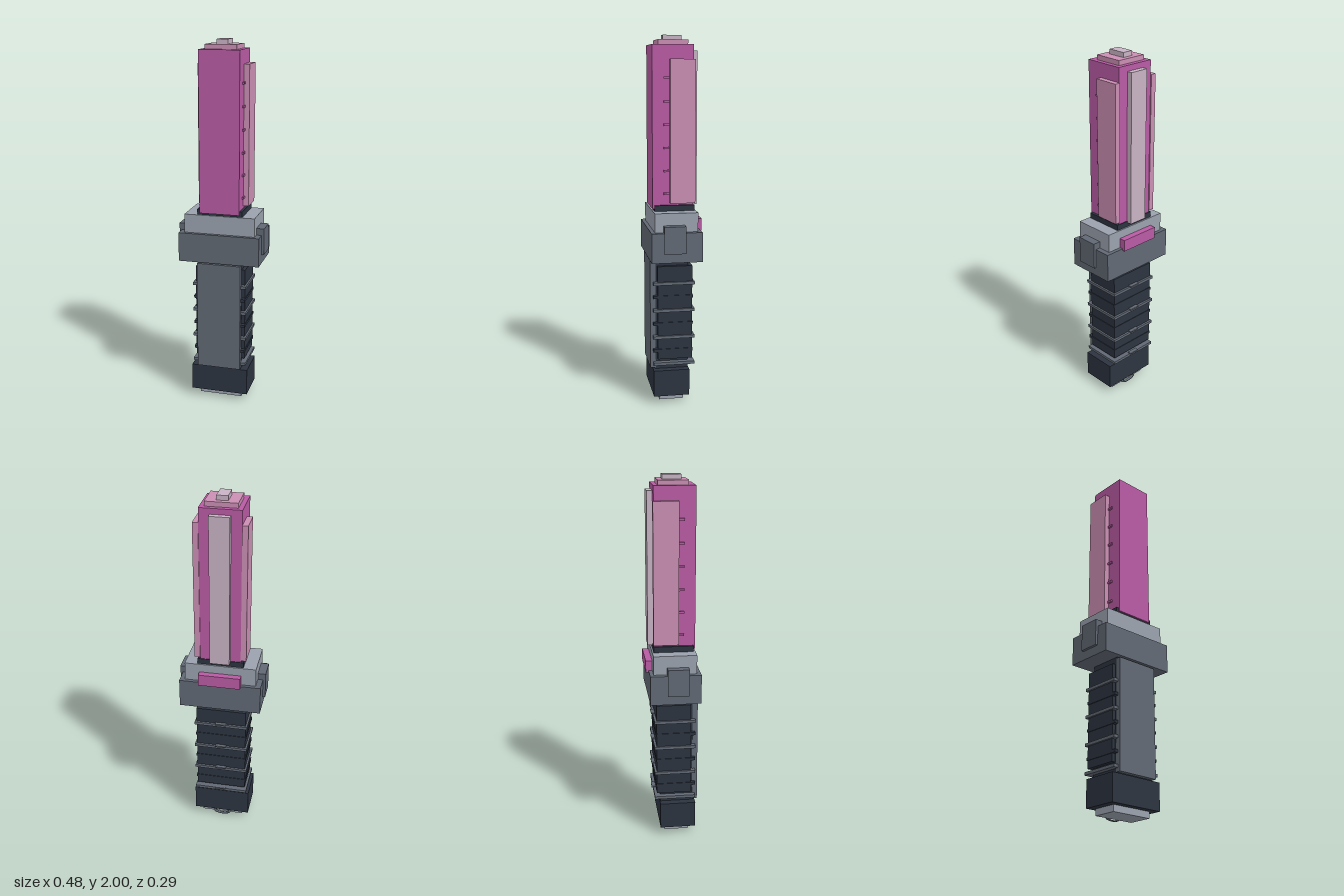
import * as THREE from 'three';

const paint = (name, color) => {
  const m = new THREE.MeshStandardMaterial({ color });
  m.name = name;
  return m;
};

export function createModel() {
  const magenta = paint('magenta', 0xb95ba4);
  const pink = paint('pink', 0xcb8fb4);
  const paleMauve = paint('paleMauve', 0xc8b3c4);
  const lightGrey = paint('lightGrey', 0x9ba2ae);
  const grey = paint('grey', 0x616974);
  const dark = paint('dark', 0x2c3440);

  const model = new THREE.Group();
  model.name = 'toyDagger';

  // Box given by its limits on each axis
  const block = (name, mat, [x0, x1], [y0, y1], [z0, z1]) => {
    const mesh = new THREE.Mesh(new THREE.BoxGeometry(x1 - x0, y1 - y0, z1 - z0), mat);
    mesh.position.set((x0 + x1) / 2, (y0 + y1) / 2, (z0 + z1) / 2);
    mesh.name = name;
    model.add(mesh);
    return mesh;
  };
  const wide = (w) => [-w, w];
  // Mirrored pair running from inner to outer x
  const pair = (name, mat, [a, b], y, z) => {
    block(name + 'Left', mat, [a, b], y, z);
    block(name + 'Right', mat, [-b, -a], y, z);
  };

  // Pommel with base plate and lanyard loop
  block('pommel', dark, wide(0.16), [0.045, 0.193], [-0.072, 0.125]);
  block('basePlate', lightGrey, wide(0.12), [0.01, 0.045], [-0.045, 0.09]);
  const loop = new THREE.Mesh(new THREE.TorusGeometry(0.045, 0.009, 6, 16), grey);
  loop.scale.set(1, 0.42, 1);
  loop.position.set(0, 0.0227, -0.053);
  loop.name = 'lanyardLoop';
  model.add(loop);

  // Grip core, raised wrap and front strip
  block('gripCore', dark, wide(0.12), [0.19, 0.82], [-0.07, 0.114]);
  block('gripWrap', dark, wide(0.14), [0.253, 0.777], [-0.09, 0.1]);
  block('frontStrip', grey, wide(0.122), [0.2, 0.807], [0.11, 0.139]);

  // Alternating grip ridges, grey ones with a small catch at the back
  for (let i = 0; i < 7; i++) {
    const y = 0.228 + i * 0.0757;
    const isGrey = i % 2 === 0;
    const w = isGrey ? 0.15 : 0.144;
    block('gripRidge', isGrey ? grey : dark, wide(w), [y - 0.008, y + 0.008], [isGrey ? -0.102 : -0.093, 0.124]);
    if (isGrey) block('ridgeCatch', grey, wide(0.03), [y + 0.006, y + 0.014], [-0.11, -0.088]);
  }

  // Guard
  block('guard', grey, wide(0.224), [0.815, 0.975], [-0.13, 0.143]);
  block('guardTop', lightGrey, wide(0.195), [0.97, 1.077], [-0.11, 0.122]);
  pair('guardEnd', grey, [0.195, 0.238], [0.865, 1.012], [-0.038, 0.077]);
  block('backButton', magenta, wide(0.115), [0.965, 1.03], [-0.145, -0.105]);
  block('bladeCollar', dark, wide(0.125), [1.07, 1.108], [-0.102, 0.113]);

  // Blade with stepped tip
  block('blade', magenta, wide(0.11), [1.088, 1.95], [-0.098, 0.122]);
  block('tipStep', pink, wide(0.085), [1.95, 1.975], [-0.073, 0.087]);
  block('tipStud', paleMauve, wide(0.03), [1.975, 2.0], [-0.046, 0.054]);
  pair('sidePanel', pink, [0.11, 0.14], [1.12, 1.875], [-0.104, 0.031]);
  block('backPanel', paleMauve, wide(0.053), [1.1, 1.92], [-0.128, -0.098]);

  // Small pegs along both sides of the blade
  for (let i = 0; i < 6; i++) {
    const y = 1.17 + i * 0.122;
    pair('sidePeg', magenta, [0.105, 0.119], [y - 0.006, y + 0.006], [0.031, 0.062]);
  }
  return model;
}
